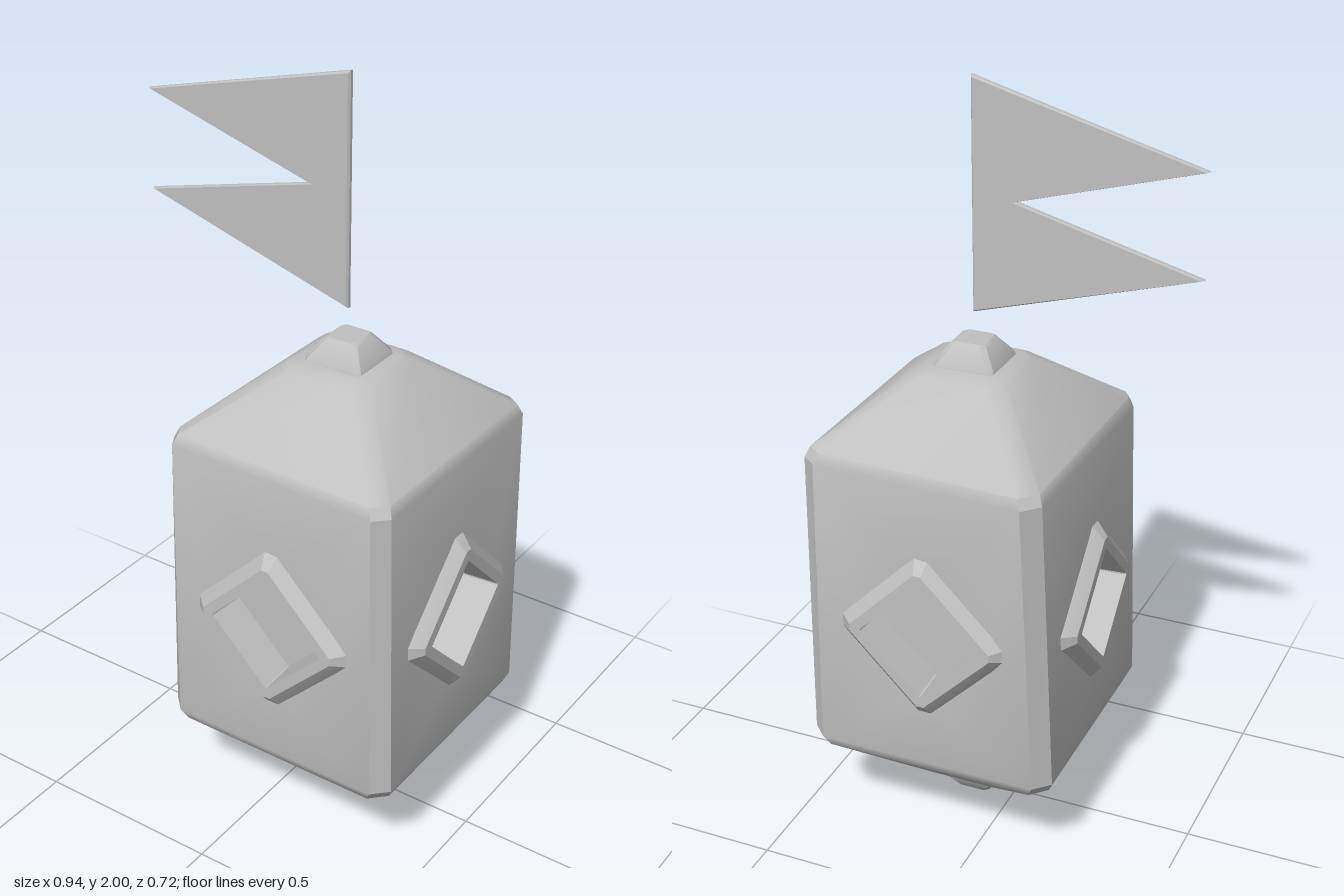
import * as THREE from 'three';
import { toCreasedNormals } from 'three/addons/utils/BufferGeometryUtils.js';

const CX = 0.11, MID = 0.66;

// Square ring with cut corners, running counter-clockwise seen from above
function ring(h, c, y) {
  const k = h - c;
  return [[-k, h], [k, h], [h, k], [h, -k], [k, -h], [-k, -h], [-h, -k], [-h, k]]
    .map(([x, z]) => new THREE.Vector3(x, y, z));
}

function geometryFrom(triangles) {
  const g = new THREE.BufferGeometry().setFromPoints(triangles);
  return toCreasedNormals(g, 0.5);
}

// Skin between rings; fill(i, a, b) may supply its own triangles for a panel
function loft(rings, capStart, capEnd, fill) {
  const t = [], n = rings[0].length;
  for (let r = 0; r < rings.length - 1; r++) {
    for (let i = 0; i < n; i++) {
      const j = (i + 1) % n, lo = rings[r], hi = rings[r + 1];
      const custom = fill && fill(r, i, lo[i], lo[j], hi[j], hi[i]);
      t.push(...(custom || [lo[i], lo[j], hi[j], lo[i], hi[j], hi[i]]));
    }
  }
  const first = rings[0], last = rings[rings.length - 1];
  for (let i = 1; i < n - 1; i++) {
    if (capStart) t.push(first[0], first[i + 1], first[i]);
    if (capEnd) t.push(last[0], last[i], last[i + 1]);
  }
  return geometryFrom(t);
}

export function createModel() {
  const model = new THREE.Group();
  model.name = 'lantern';
  const grey = new THREE.MeshStandardMaterial({ color: 0xc0c0c0 });
  grey.name = 'plain grey';
  const add = (name, geometry, parent = model) => {
    const mesh = new THREE.Mesh(geometry, grey);
    mesh.name = name;
    parent.add(mesh);
    return mesh;
  };

  // Slightly uneven shoulder outline, relative to the body axis
  const shoulder = (s, y) => [
    [-0.30, 0.32], [0.285, 0.335], [0.32, 0.30], [0.325, -0.30],
    [0.29, -0.325], [-0.27, -0.355], [-0.31, -0.31], [-0.32, 0.285],
  ].map(([x, z]) => new THREE.Vector3(x * s, y, z * s));

  // Body walls carry a diamond opening on each of the four main faces
  const wallRow = 3;
  const openWall = (r, i, bl, br, tr, tl) => {
    if (r !== wallRow || i % 2) return null;
    const a = (i / 2) * Math.PI / 2, axis = new THREE.Vector3(0, 1, 0);
    const p = (x, y) => new THREE.Vector3(x, MID + y, 0.329).applyAxisAngle(axis, a);
    const e = 0.175, T = p(0, e), R = p(e, 0), B = p(0, -e), L = p(-e, 0);
    return [bl, br, B, br, R, B, br, tr, R, tr, T, R, tr, tl, T, tl, L, T, tl, bl, L, bl, B, L];
  };
  const body = add('body', loft([
    ring(0.085, 0.025, 0.065),
    ring(0.115, 0.03, 0.08),
    ring(0.322, 0.04, 0.255),
    ring(0.336, 0.04, 0.285),
    shoulder(1, 1.085),
    shoulder(0.965, 1.112),
    ring(0.125, 0.035, 1.268),
    ring(0.1, 0.03, 1.281),
  ], true, true, openWall));
  body.position.x = CX;

  // Raised diamond frames, each with a sunken pocket
  const diamond = (r, c, y) => ring(r / Math.SQRT2, c, y)
    .map(v => v.applyAxisAngle(new THREE.Vector3(0, 1, 0), Math.PI / 4));
  const frameGeometry = loft([
    diamond(0.255, 0.028, 0.315),
    diamond(0.24, 0.025, 0.33),
    diamond(0.2, 0.014, 0.358),
    diamond(0.162, 0.003, 0.358),
    diamond(0.154, 0.003, 0.26),
  ], false, true);
  frameGeometry.rotateX(Math.PI / 2);
  ['front', 'left', 'back', 'right'].forEach((side, k) => {
    const frame = add(side + 'WindowFrame', frameGeometry);
    frame.position.set(CX, MID, 0);
    frame.rotation.y = k * Math.PI / 2;
  });

  // End caps above and below
  const top = add('topKnob', loft([
    ring(0.083, 0.012, 1.275), ring(0.08, 0.012, 1.288),
    ring(0.048, 0.012, 1.333), ring(0.04, 0.01, 1.34),
  ], true, true));
  const bottom = add('bottomKnob', loft([
    ring(0.038, 0.01, 0), ring(0.047, 0.012, 0.007),
    ring(0.078, 0.012, 0.055), ring(0.08, 0.012, 0.07),
  ], true, true));
  top.position.x = bottom.position.x = CX;

  // Swallow-tailed pennant floating above
  const outline = new THREE.Shape([
    [0.11, 2], [-0.475, 1.84], [0, 1.705], [-0.475, 1.58], [0.11, 1.41],
  ].map(([x, y]) => new THREE.Vector2(x, y)));
  const pennant = new THREE.ExtrudeGeometry(outline, {
    depth: 0.008, bevelEnabled: true, bevelSegments: 1,
    bevelThickness: 0.006, bevelSize: 0.005, bevelOffset: -0.005,
  });
  pennant.translate(0, 0, -0.004);
  add('pennant', pennant);

  return model;
}
